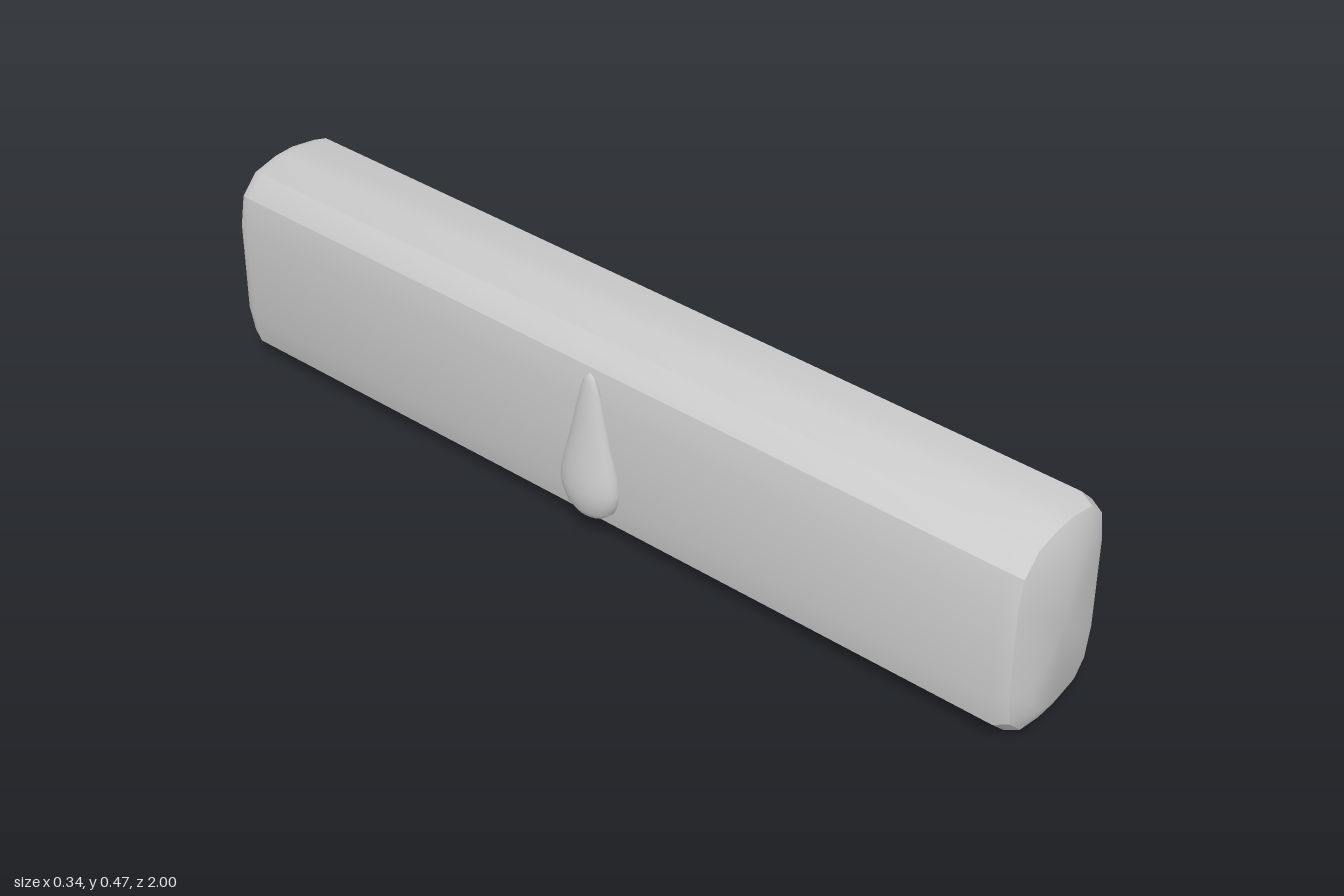
import * as THREE from 'three';
import { toCreasedNormals } from 'three/addons/utils/BufferGeometryUtils.js';

const CENTRE_X = 0.019, HALF_W = 0.149, HALF_H = 0.235;

// Bevelled cross-section, counter-clockwise seen from +z
function barProfile() {
  const corner = [[0.149, 0.11], [0.136, 0.18], [0.094, 0.222], [0.026, 0.235]];
  const flipped = [...corner].reverse();
  return [
    ...corner,
    ...flipped.map(([x, y]) => [-x, y]),
    ...corner.map(([x, y]) => [-x, -y]),
    ...flipped.map(([x, y]) => [x, -y]),
  ];
}

// Loft the cross-section through rings of [z, inset], and close both ends
function barGeometry() {
  const profile = barProfile();
  const n = profile.length;
  const rings = [[1, 0.055], [0.98, 0.013], [0.95, 0], [-0.95, 0], [-0.98, 0.013], [-1, 0.055]];
  const positions = [], index = [];
  for (const [z, inset] of rings) {
    const sx = 1 - inset / HALF_W, sy = 1 - inset / HALF_H;
    for (const [x, y] of profile) positions.push(CENTRE_X + x * sx, HALF_H + y * sy, z);
  }
  for (let i = 0; i < rings.length - 1; i++) {
    for (let j = 0; j < n; j++) {
      const k = (j + 1) % n;
      const a = i * n + j, b = i * n + k, c = b + n, d = a + n;
      index.push(a, d, b, d, c, b);
    }
  }
  const front = rings.length * n, back = front + 1, last = front - n;
  positions.push(CENTRE_X, HALF_H, 1, CENTRE_X, HALF_H, -1);
  for (let j = 0; j < n; j++) {
    const k = (j + 1) % n;
    index.push(front, j, k, back, last + k, last + j);
  }
  const geometry = new THREE.BufferGeometry();
  geometry.setAttribute('position', new THREE.Float32BufferAttribute(positions, 3));
  geometry.setIndex(index);
  return toCreasedNormals(geometry, 0.5);
}

export function createModel() {
  const group = new THREE.Group();
  const material = new THREE.MeshStandardMaterial({ color: 0xcccccc });

  // Long bar with bevelled edges
  const bar = new THREE.Mesh(barGeometry(), material);
  bar.name = 'bar';
  group.add(bar);

  // Teardrop set into the side at mid-length, wider along the bar
  const outline = [
    [0, 0.07], [0.01, 0.072], [0.02, 0.079], [0.031, 0.098], [0.037, 0.125], [0.039, 0.15],
    [0.037, 0.18], [0.032, 0.22], [0.026, 0.26], [0.02, 0.31], [0.014, 0.36],
    [0.009, 0.392], [0.005, 0.407], [0, 0.413],
  ].map(([r, y]) => new THREE.Vector2(r, y));
  const drop = new THREE.Mesh(new THREE.LatheGeometry(outline, 32), material);
  drop.name = 'teardrop';
  drop.position.x = -0.13;
  drop.scale.z = 1.85;
  group.add(drop);

  return group;
}
